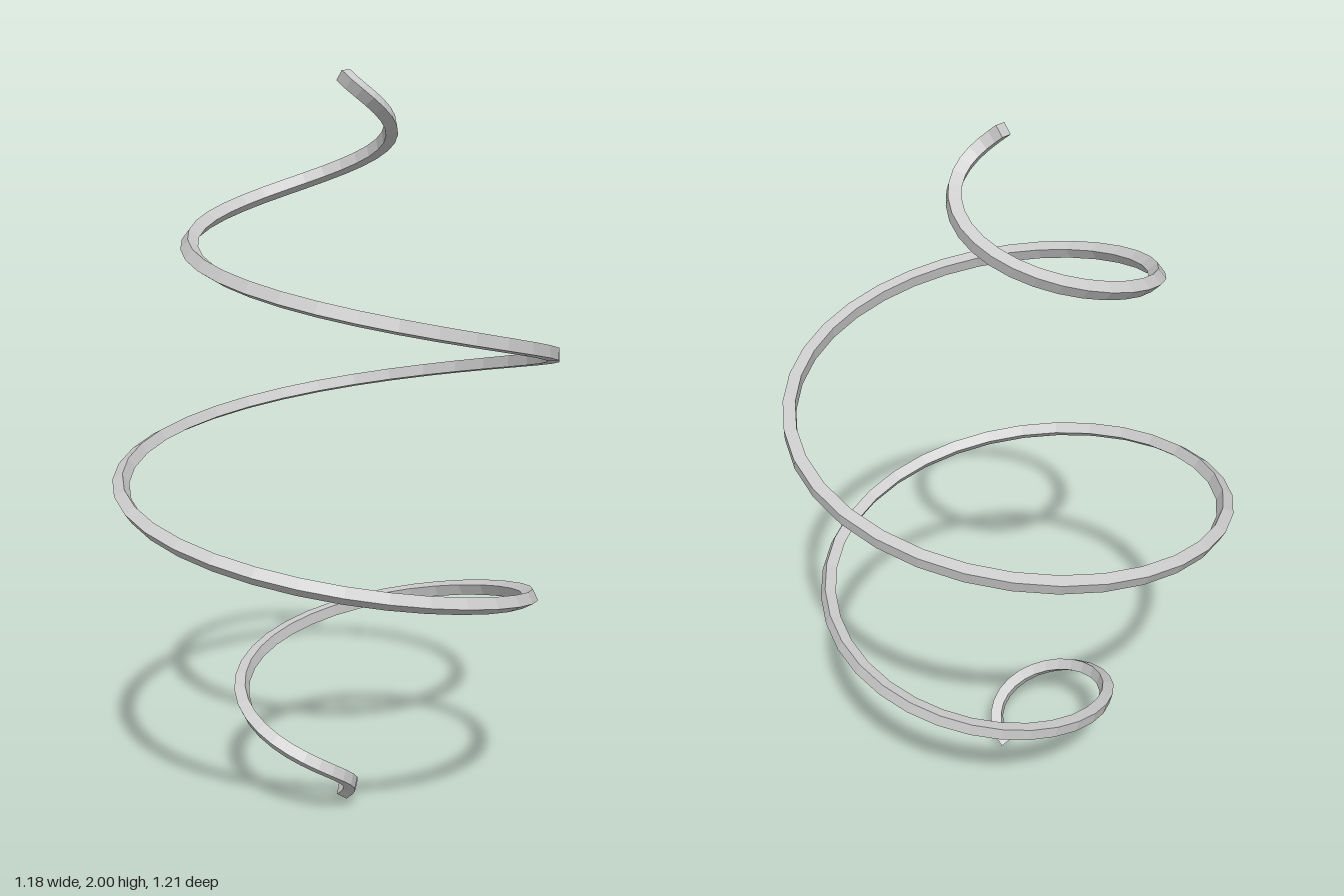
import * as THREE from 'three';

const TURNS = 3, RADIUS = 0.6, AXIS_X = 0.0325;
const WIRE = 0.023, SIDES = 4, STEPS = 100;
const BASE = 0.018, RISE = 1.964;

// Rising spiral whose radius swells to the middle and closes at both ends
class SpiralCurve extends THREE.Curve {
  getPoint(t, target = new THREE.Vector3()) {
    const r = RADIUS * 4 * t * (1 - t);
    const a = t * TURNS * Math.PI * 2;
    return target.set(AXIS_X + r * Math.cos(a), BASE + RISE * t, r * Math.sin(a));
  }

  // Even steps in angle, so the tight ends stay as round as the middle
  getUtoTmapping(u) {
    return u;
  }
}

export function createModel() {
  const group = new THREE.Group();
  group.name = 'spiral';

  // Four-sided wire swept along the spiral
  const geometry = new THREE.TubeGeometry(new SpiralCurve(), STEPS, WIRE, SIDES, false);

  // Close the two ends
  const e = STEPS * (SIDES + 1);
  geometry.setIndex([
    ...geometry.index.array,
    0, 1, 2, 0, 2, 3,
    e, e + 2, e + 1, e, e + 3, e + 2,
  ]);

  const material = new THREE.MeshStandardMaterial({ color: 0xcccccc, flatShading: true });
  const wire = new THREE.Mesh(geometry, material);
  wire.name = 'spiralWire';
  group.add(wire);
  return group;
}
